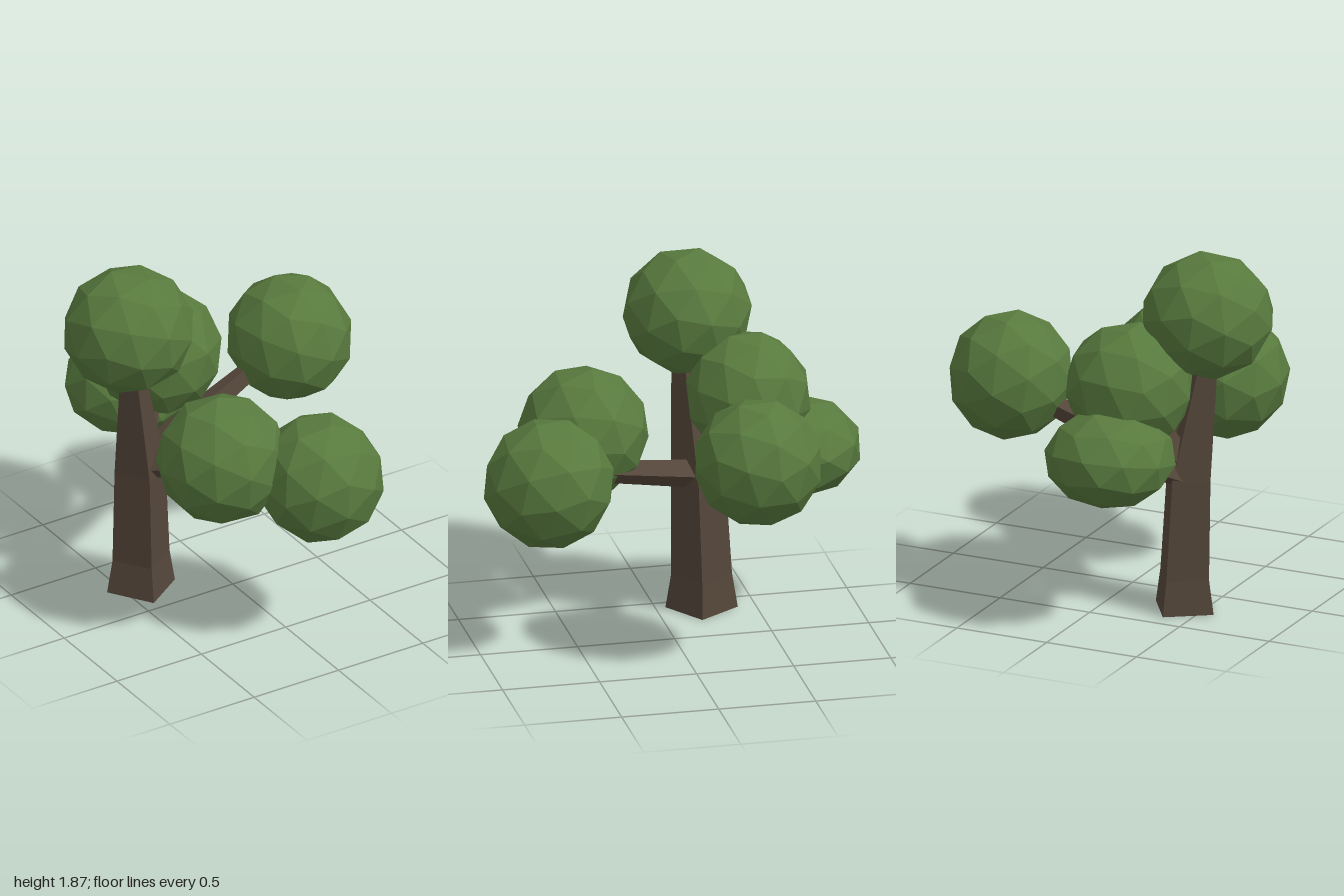
import * as THREE from 'three';

const bark = new THREE.MeshStandardMaterial({ color: 0x54463a, flatShading: true });
const leaf = new THREE.MeshStandardMaterial({ color: 0x587a3e, flatShading: true });

// Square trunk lofted through rings of [y, corner radius, centre x, centre z]
function makeTrunk() {
  const rings = [
    [0, 0.182, -0.4, -0.23],
    [0.18, 0.153, -0.4, -0.23],
    [0.7, 0.137, -0.415, -0.215],
    [1.4, 0.055, -0.505, -0.155],
  ];
  const geo = new THREE.CylinderGeometry(1, 1, rings.length - 1, 4, rings.length - 1);
  geo.rotateY(-0.2);
  const pos = geo.attributes.position;
  for (let i = 0; i < pos.count; i++) {
    const [y, r, cx, cz] = rings[Math.round(pos.getY(i) + (rings.length - 1) / 2)];
    pos.setXYZ(i, cx + r * pos.getX(i), y, cz + r * pos.getZ(i));
  }
  geo.computeVertexNormals();
  const mesh = new THREE.Mesh(geo, bark);
  mesh.name = 'trunk';
  return mesh;
}

// Four-sided tapering branch between two points
function makeBranch(name, from, to, r0, r1, roll) {
  const a = new THREE.Vector3(...from);
  const b = new THREE.Vector3(...to);
  const dir = b.clone().sub(a);
  const geo = new THREE.CylinderGeometry(r1, r0, dir.length(), 4);
  geo.rotateY(roll);
  const mesh = new THREE.Mesh(geo, bark);
  mesh.quaternion.setFromUnitVectors(new THREE.Vector3(0, 1, 0), dir.normalize());
  mesh.position.copy(a).add(b).multiplyScalar(0.5);
  mesh.name = name;
  return mesh;
}

// Faceted leaf ball, turned first and then stretched to its half sizes
function makeFoliage(name, center, size, turn) {
  const geo = new THREE.IcosahedronGeometry(1, 1);
  geo.rotateX(turn);
  geo.rotateY(turn * 1.7);
  geo.rotateZ(turn * 0.6);
  geo.scale(...size);
  geo.computeVertexNormals();
  const mesh = new THREE.Mesh(geo, leaf);
  mesh.position.set(...center);
  mesh.name = name;
  return mesh;
}

export function createModel() {
  const tree = new THREE.Group();
  tree.name = 'tree';
  tree.add(makeTrunk());

  // Branches reaching from the fork into the foliage
  const branches = [
    ['frontBranch', [-0.42, 0.71, -0.24], [0.06, 0.98, 0.6], 0.075, 0.05, 0.5],
    ['leftBranch', [-0.4, 0.73, -0.23], [0.45, 1.06, -0.33], 0.085, 0.045, 0.6],
    ['backBranch', [-0.41, 0.7, -0.23], [-0.2, 0.9, -0.62], 0.07, 0.045, 0.7],
    ['upperBackBranch', [-0.41, 0.72, -0.22], [-0.2, 1.18, -0.4], 0.08, 0.045, 0.4],
  ];
  for (const b of branches) tree.add(makeBranch(...b));

  // Leaf balls: name, centre, half sizes, turn
  const balls = [
    ['topFoliage', [-0.505, 1.56, -0.18], [0.34, 0.325, 0.33], 0.7],
    ['upperBackFoliage', [-0.18, 1.21, -0.42], [0.33, 0.33, 0.32], 1.9],
    ['lowBackFoliage', [-0.195, 0.91, -0.67], [0.335, 0.25, 0.335], 2.6],
    ['leftFoliage', [0.53, 1.125, -0.31], [0.32, 0.33, 0.33], 0.4],
    ['frontFoliage', [-0.315, 1.035, 0.4], [0.335, 0.335, 0.335], 1.3],
    ['lowFrontFoliage', [0.095, 0.93, 0.67], [0.325, 0.335, 0.335], 3.3],
  ];
  for (const f of balls) tree.add(makeFoliage(...f));

  return tree;
}
